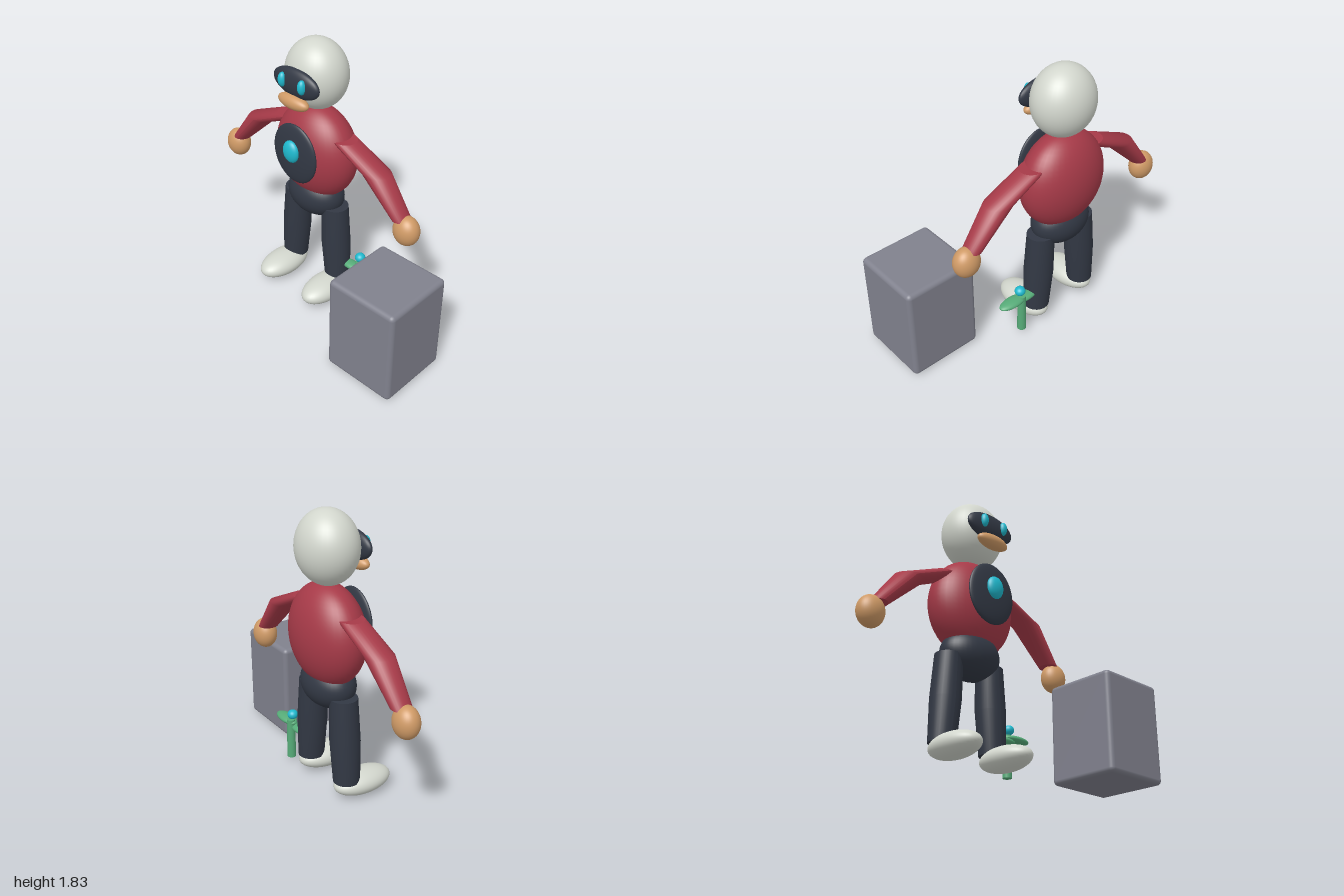
import * as THREE from 'three';
import { RoundedBoxGeometry } from 'three/addons/geometries/RoundedBoxGeometry.js';

const mat = (name, color, side = THREE.FrontSide) => {
  const m = new THREE.MeshStandardMaterial({ color, side });
  m.name = name;
  return m;
};

export function createModel() {
  const shell = mat('pale shell', 0xd2d6cd);
  const red = mat('red jacket', 0xa63a48, THREE.DoubleSide);
  const dark = mat('dark slate', 0x323844, THREE.DoubleSide);
  const cyan = mat('cyan glow', 0x1fb9ce);
  const tan = mat('tan', 0xcf9a66);
  const green = mat('leaf green', 0x56ab78);
  const grey = mat('block grey', 0x80818d);

  const add = (parent, name, geometry, material, x = 0, y = 0, z = 0) => {
    const mesh = new THREE.Mesh(geometry, material);
    mesh.name = name;
    mesh.position.set(x, y, z);
    parent.add(mesh);
    return mesh;
  };

  // Ellipsoid from centre and radii
  const blob = (parent, name, material, [x, y, z], [rx, ry, rz]) =>
    add(parent, name, new THREE.SphereGeometry(1, 40, 28).scale(rx, ry, rz), material, x, y, z);

  // Limb lofted through horizontal elliptical rings: [x, y, rx, rz], top to bottom
  const limb = (parent, name, material, rings, z) => {
    const n = 28;
    const g = new THREE.CylinderGeometry(1, 1, 1, n, rings.length - 1);
    const p = g.attributes.position;
    for (let i = 0; i < p.count; i++) {
      const row = Math.round((0.5 - p.getY(i)) * (rings.length - 1));
      const [x, y, rx, rz] = rings[row];
      p.setXYZ(i, x + p.getX(i) * rx, y, p.getZ(i) * rz);
    }
    g.computeVertexNormals();
    return add(parent, name, g, material, 0, 0, z);
  };

  const model = new THREE.Group();
  model.name = 'figureWithBlockAndPlant';

  // Figure, built around its own x = 0
  const figure = new THREE.Group();
  figure.name = 'figure';
  figure.position.x = -0.145;
  model.add(figure);

  blob(figure, 'head', shell, [0, 1.6, -0.187], [0.213, 0.232, 0.19]);
  blob(figure, 'visor', dark, [0, 1.593, -0.008], [0.19, 0.095, 0.047]);
  blob(figure, 'mouth', tan, [0, 1.476, 0.019], [0.124, 0.048, 0.049]);
  blob(figure, 'torso', red, [0, 1.055, -0.19], [0.312, 0.33, 0.202]);
  blob(figure, 'chestPlate', dark, [0, 1.102, 0.01], [0.184, 0.209, 0.036]);
  blob(figure, 'chestLight', cyan, [0, 1.132, 0.045], [0.064, 0.077, 0.038]);
  blob(figure, 'pelvis', dark, [0, 0.73, -0.185], [0.214, 0.16, 0.155]);

  for (const s of [1, -1]) {
    const side = s > 0 ? 'left' : 'right';
    blob(figure, side + 'Eye', cyan, [s * 0.082, 1.604, 0.03], [0.028, 0.048, 0.029]);
    limb(figure, side + 'Arm', red, [
      [s * 0.233, 1.228, 0.096, 0.082],
      [s * 0.507, 1.1, 0.1, 0.09],
      [s * 0.719, 0.86, 0.059, 0.066],
    ], -0.185);
    blob(figure, side + 'Hand', tan, [s * 0.766, 0.79, -0.185], [0.091, 0.102, 0.077]);
    limb(figure, side + 'Leg', dark, [
      [s * 0.168, 0.69, 0.092, 0.088],
      [s * 0.184, 0.4, 0.1, 0.097],
      [s * 0.202, 0.12, 0.086, 0.086],
    ], -0.187);
    blob(figure, side + 'Foot', shell, [s * 0.203, 0.082, -0.067], [0.115, 0.079, 0.205]);
  }

  // Block
  add(model, 'block', new RoundedBoxGeometry(0.496, 0.666, 0.496, 4, 0.03), grey, 0.752, 0.338, 0.142);

  // Plant
  const plant = new THREE.Group();
  plant.name = 'plant';
  plant.position.set(0.23, 0, -0.225);
  model.add(plant);
  add(plant, 'stem', new THREE.CylinderGeometry(0.027, 0.03, 0.28, 20), green, 0, 0.168, -0.01);
  blob(plant, 'leftLeaf', green, [0.068, 0.287, 0], [0.104, 0.025, 0.048]);
  blob(plant, 'rightLeaf', green, [-0.06, 0.253, 0.02], [0.095, 0.024, 0.042]);
  blob(plant, 'bud', cyan, [0, 0.34, 0.005], [0.035, 0.032, 0.035]);

  return model;
}
